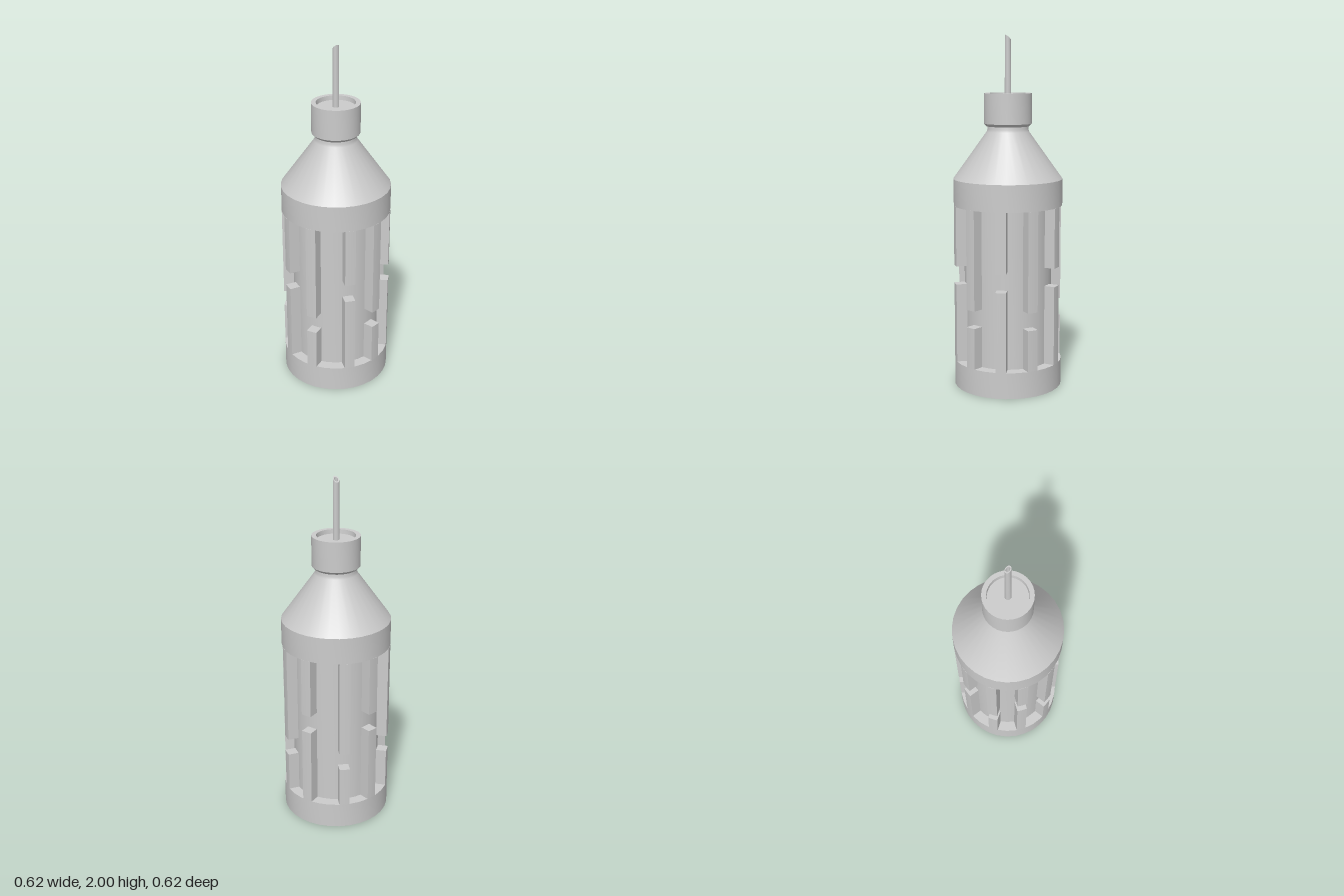
import * as THREE from 'three';
import { toCreasedNormals } from 'three/addons/utils/BufferGeometryUtils.js';

const R = 0.31;        // outer radius of the bottle
const CORE = 0.25;     // radius of the core behind the ribs
const material = new THREE.MeshStandardMaterial({ color: 0xcccccc, side: THREE.DoubleSide });

function addMesh(parent, name, geometry) {
  const mesh = new THREE.Mesh(toCreasedNormals(geometry, 0.5), material);
  mesh.name = name;
  parent.add(mesh);
  return mesh;
}

const lathe = (points, sides = 32) =>
  new THREE.LatheGeometry(points.map(([r, y]) => new THREE.Vector2(r, y)), sides);

// Upright bar with parallel sides and an outer face that follows the bottle
function ribGeometry(bottom, top) {
  const half = 0.03;
  const shape = new THREE.Shape();
  const a = Math.asin(half / R);
  shape.moveTo(-half, -CORE + 0.02);
  for (let i = 0; i <= 4; i++) {
    const t = -a + (2 * a * i) / 4;
    shape.lineTo(R * Math.sin(t), -R * Math.cos(t));
  }
  shape.lineTo(half, -CORE + 0.02);
  const g = new THREE.ExtrudeGeometry(shape, { depth: top - bottom, bevelEnabled: false });
  g.rotateX(-Math.PI / 2);
  g.translate(0, bottom, 0);
  return g;
}

export function createModel() {
  const model = new THREE.Group();
  model.name = 'bottle';

  // Body: recessed underside, base ring, core, shoulder ring, cone and neck
  addMesh(model, 'body', lathe([
    [0, 0.04], [0.225, 0.04], [0.29, 0], [R, 0], [R, 0.15], [CORE, 0.15],
    [CORE, 1.05], [R, 1.05], [R, 1.2], [0.12, 1.465], [0.115, 1.48], [0.115, 1.52],
  ]));

  // Grip ribs: long and short upper bars alternate, each with a bar below
  const ribs = new THREE.Group();
  ribs.name = 'gripRibs';
  model.add(ribs);
  const halfTurn = [16, 51, 85, 121, 163];
  const angles = [...halfTurn, ...halfTurn.map((d) => d + 180)];
  angles.forEach((deg, i) => {
    const long = i % 2 === 0;
    const angle = THREE.MathUtils.degToRad(deg);
    addMesh(ribs, 'upperRib', ribGeometry(long ? 0.485 : 0.71, 1.05)).rotation.y = angle;
    addMesh(ribs, 'lowerRib', ribGeometry(0.15, long ? 0.385 : 0.605)).rotation.y = angle;
  });

  // Cap with a chamfered lower edge and a shallow dished top
  addMesh(model, 'cap', lathe([
    [0.11, 1.495], [0.12, 1.495], [0.135, 1.51], [0.135, 1.68],
    [0.109, 1.68], [0.107, 1.655], [0, 1.655],
  ]));

  // Hollow straw, its mouth cut on a slant that is highest at the front
  const straw = lathe([[0.018, 1.65], [0.017, 1.985], [0.011, 1.985], [0.011, 1.65]], 16);
  const p = straw.attributes.position;
  for (let i = 0; i < p.count; i++) {
    if (p.getY(i) > 1.9) p.setY(i, 1.985 + p.getZ(i) * 0.88);
  }
  addMesh(model, 'straw', straw);

  return model;
}
